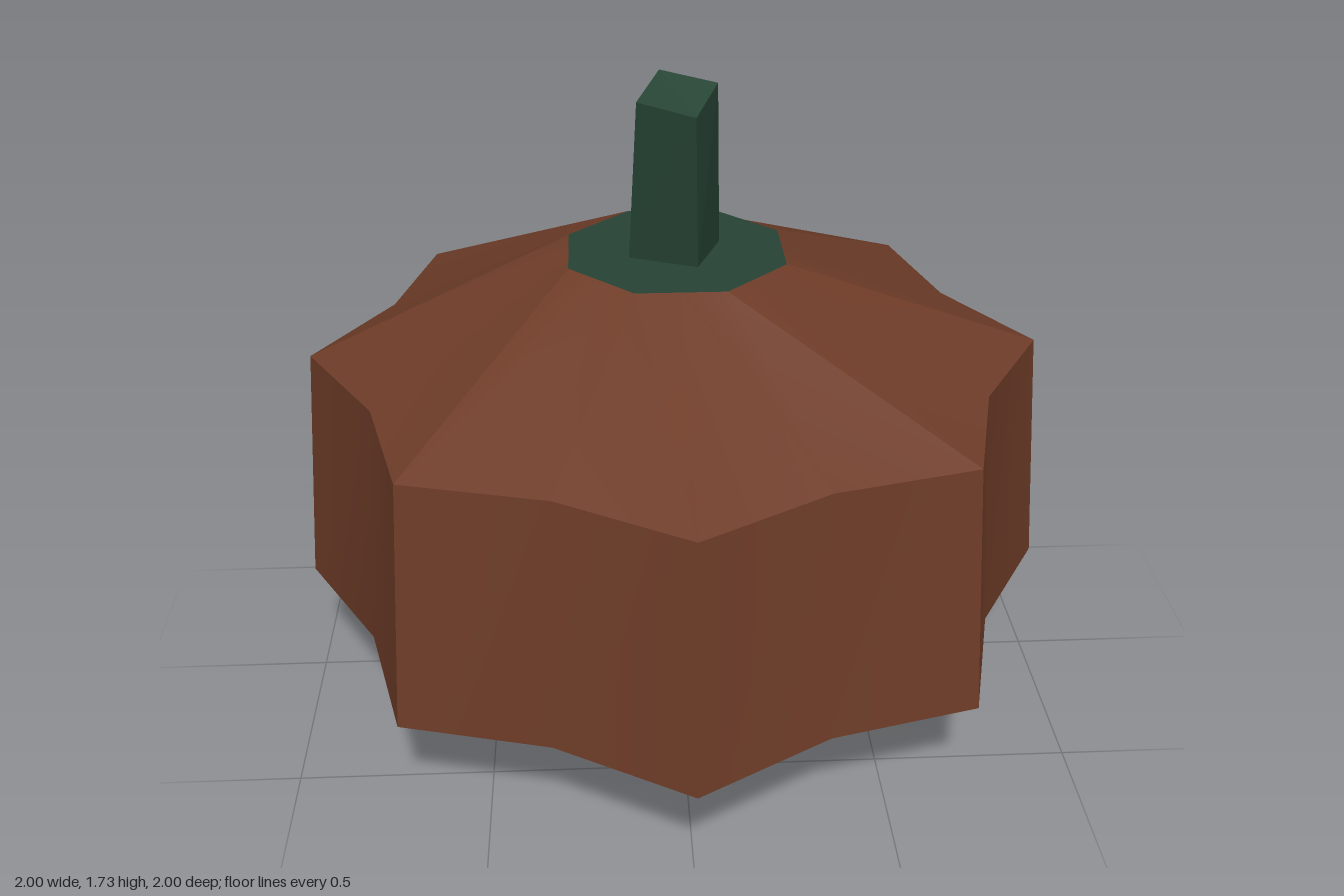
import * as THREE from 'three';

const LOBES = 8;
const STEP = Math.PI / LOBES; // angle between a ridge and the next valley

// Point k of a 16-point ring: even points are ridges, odd points are valleys
function ringPoint(k, ring) {
  const r = k % 2 ? ring.valley : ring.ridge;
  const a = k * STEP + (ring.twist || 0);
  return [r * Math.cos(a), ring.y, r * Math.sin(a)];
}

// Band between two rings; each lobe is smooth in its valley and sharp at its ridges
function band(low, high) {
  const pos = [], index = [];
  for (let i = 0; i < LOBES; i++) {
    const base = pos.length / 3;
    for (let j = 0; j < 3; j++) {
      pos.push(...ringPoint(2 * i + j, low), ...ringPoint(2 * i + j, high));
    }
    for (let j = 0; j < 2; j++) {
      const a = base + 2 * j;
      index.push(a, a + 1, a + 2, a + 2, a + 1, a + 3);
    }
  }
  const g = new THREE.BufferGeometry();
  g.setAttribute('position', new THREE.Float32BufferAttribute(pos, 3));
  g.setIndex(index);
  g.computeVertexNormals();
  return g;
}

// Flat octagon whose corners lie between the ridges
function octagon(radius, y, up) {
  const g = new THREE.CircleGeometry(radius, LOBES, STEP);
  g.rotateX(up ? -Math.PI / 2 : Math.PI / 2);
  g.translate(0, y, 0);
  return g;
}

// Four-sided prism between two quads with matching corners, with its top closed
function prism(bottom, top) {
  const pos = [];
  for (let i = 0; i < 4; i++) {
    const n = (i + 1) % 4;
    pos.push(...bottom[i], ...top[i], ...bottom[n], ...bottom[n], ...top[i], ...top[n]);
  }
  pos.push(...top[0], ...top[2], ...top[1], ...top[0], ...top[3], ...top[2]);
  const g = new THREE.BufferGeometry();
  g.setAttribute('position', new THREE.Float32BufferAttribute(pos, 3));
  g.computeVertexNormals();
  return g;
}

export function createModel() {
  const rind = new THREE.MeshStandardMaterial({ color: 0x6e3c28 });
  rind.name = 'rind brown';
  const green = new THREE.MeshStandardMaterial({ color: 0x274434 });
  green.name = 'stem green';
  const black = new THREE.MeshStandardMaterial({ color: 0x050505 });
  black.name = 'underside black';

  const group = new THREE.Group();
  group.name = 'pumpkin';
  const add = (name, geometry, material) => {
    const mesh = new THREE.Mesh(geometry, material);
    mesh.name = name;
    group.add(mesh);
  };

  const foot = { y: 0, ridge: 0.335, valley: 0.31, twist: STEP };
  const belly = { y: 0.32, ridge: 1, valley: 0.87 };
  const shoulder = { y: 0.975, ridge: 0.95, valley: 0.825 };
  const crown = { y: 1.255, ridge: 0.295, valley: 0.2725, twist: STEP };

  // Ribbed body
  add('underside', band(foot, belly), black);
  add('sides', band(belly, shoulder), rind);
  add('shoulders', band(shoulder, crown), rind);
  add('foot', octagon(foot.ridge, foot.y, false), black);

  // Cap and leaning stem
  add('cap', octagon(crown.ridge, crown.y, true), green);
  add('stem', prism(
    [[-0.05, 1.255, -0.12], [0.115, 1.255, -0.05], [0.05, 1.255, 0.12], [-0.12, 1.255, 0.05]],
    [[-0.04, 1.725, 0], [0.10, 1.705, 0.05], [0.04, 1.66, 0.18], [-0.10, 1.685, 0.13]],
  ), green);

  return group;
}
